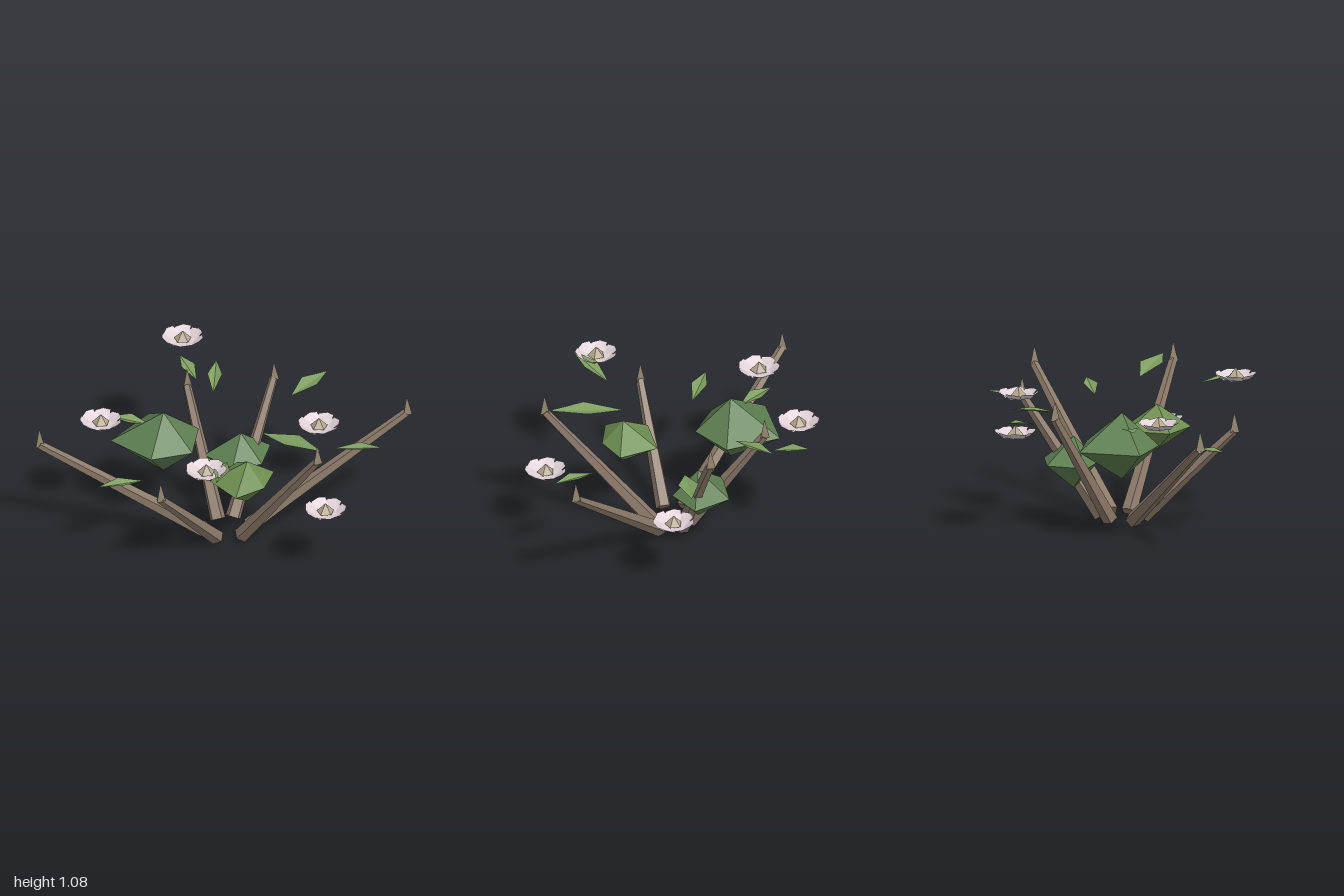
import * as THREE from 'three';

const mat = (color, side = THREE.FrontSide) =>
  new THREE.MeshStandardMaterial({ color, side, flatShading: true });
const bark = mat(0x8c7a6a);
const thornBark = mat(0x8f826c);
const foliage = mat(0x5f8052);
const foliageLight = mat(0x6f8f52);
const leafGreen = mat(0x7fa062, THREE.DoubleSide);
const petalPink = mat(0xe2d3d8, THREE.DoubleSide);
const pistilTan = mat(0xb8aa92);

function mesh(name, geometry, material) {
  const m = new THREE.Mesh(geometry, material);
  m.name = name;
  return m;
}

// Flat-faced surface from a few corner points and triangles
function facets(points, triangles) {
  const g = new THREE.BufferGeometry();
  g.setAttribute('position', new THREE.Float32BufferAttribute(triangles.flat().flatMap(i => points[i]), 3));
  g.computeVertexNormals();
  return g;
}

// Tapered stem from its base to a small upright thorn at the apex
function branch(base, apex) {
  const group = new THREE.Group();
  group.name = 'branch';
  const a = new THREE.Vector3(...base);
  const b = new THREE.Vector3(...apex);
  b.y -= 0.13;
  const dir = b.clone().sub(a);
  const stem = mesh('stem', new THREE.CylinderGeometry(0.03, 0.055, dir.length(), 5), bark);
  stem.position.copy(a).add(b).multiplyScalar(0.5);
  stem.quaternion.setFromUnitVectors(new THREE.Vector3(0, 1, 0), dir.normalize());
  const thorn = mesh('thorn', new THREE.ConeGeometry(0.037, 0.14, 3), thornBark);
  thorn.position.set(apex[0], apex[1] - 0.07, apex[2]);
  group.add(stem, thorn);
  return group;
}

// Five-sided double pyramid with an uneven rim
function clump([x, y, z], height, radii, material) {
  const points = [[0, height, 0], [0, -height, 0]];
  const triangles = [];
  radii.forEach((r, i) => {
    const t = (i / 5) * Math.PI * 2;
    points.push([r * Math.cos(t), 0, r * Math.sin(t)]);
    const p = 2 + i, q = 2 + ((i + 1) % 5);
    triangles.push([0, q, p], [1, p, q]);
  });
  const m = mesh('foliageClump', facets(points, triangles), material);
  m.position.set(x, y, z);
  return m;
}

// Diamond leaf folded upwards along its midrib
function leaf(from, to, width) {
  const a = new THREE.Vector3(...from), b = new THREE.Vector3(...to);
  const side = new THREE.Vector3(b.z - a.z, 0, a.x - b.x).normalize().multiplyScalar(width / 2);
  const mid = a.clone().lerp(b, 0.5);
  mid.y += 0.02;
  const l = mid.clone().add(side), r = mid.clone().sub(side);
  const points = [a, b, l, r].map(v => v.toArray());
  return mesh('leaf', facets(points, [[0, 1, 2], [0, 3, 1]]), leafGreen);
}

// Shallow bowl of overlapping petals around a small pointed centre
const petalGeometry = facets(
  [[0, -0.045, 0], [0.075, -0.028, 0.05], [0.128, 0.012, 0.052],
    [0.143, 0.012, 0], [0.122, 0.002, -0.056], [0.075, -0.034, -0.05]],
  [[0, 1, 5], [1, 2, 3], [1, 3, 5], [3, 4, 5]]);
const pistilGeometry = new THREE.ConeGeometry(0.06, 0.065, 5);

function flower([x, y, z], turn) {
  const group = new THREE.Group();
  group.name = 'flower';
  for (let i = 0; i < 7; i++) {
    const petal = mesh('petal', petalGeometry, petalPink);
    petal.rotation.y = (i / 7) * Math.PI * 2;
    group.add(petal);
  }
  const pistil = mesh('flowerCentre', pistilGeometry, pistilTan);
  pistil.position.y = 0.015;
  group.add(pistil);
  group.position.set(x, y, z);
  group.rotation.y = turn;
  return group;
}

export function createModel() {
  const model = new THREE.Group();
  model.name = 'floweringBush';

  // Branches: base, thorn apex
  [
    [[0.10, 0.05, -0.04], [0.86, 1.0, -0.80]],
    [[-0.05, 0.055, -0.06], [-0.12, 1.0, -0.60]],
    [[-0.12, 0.05, 0.02], [-0.58, 0.95, -0.235]],
    [[0.13, 0.05, 0.08], [0.85, 1.09, 0.18]],
    [[-0.12, 0.05, 0.18], [-0.965, 0.89, 0.90]],
    [[0.015, 0.055, 0.21], [0.03, 0.81, 0.85]],
  ].forEach(([base, apex]) => model.add(branch(base, apex)));

  // Foliage clumps: centre, half height, rim radii
  model.add(
    clump([-0.445, 0.635, 0.20], 0.23, [0.246, 0.25, 0.36, 0.365, 0.29], foliage),
    clump([-0.12, 0.43, -0.235], 0.18, [0.18, 0.17, 0.25, 0.23, 0.243], foliage),
    clump([0.293, 0.615, 0.23], 0.158, [0.145, 0.232, 0.257, 0.252, 0.22], foliageLight));

  // Leaves: inner tip, outer tip, width
  [
    [[0.05, 0.805, -0.57], [0.085, 0.84, -0.93], 0.14],
    [[-0.375, 0.82, -0.26], [-0.57, 0.865, -0.55], 0.1],
    [[0.615, 0.735, -0.30], [0.93, 0.785, -0.455], 0.1],
    [[0.315, 0.945, 0.10], [0.84, 1.005, 0.115], 0.16],
    [[-0.52, 0.765, 0.25], [-0.77, 0.80, 0.375], 0.12],
    [[-0.28, 0.60, 0.63], [-0.445, 0.63, 0.925], 0.11],
    [[0.33, 0.92, 0.50], [0.50, 0.985, 0.84], 0.11],
    [[-0.60, 0.78, -0.37], [-0.84, 0.83, -0.49], 0.1],
  ].forEach(([from, to, width]) => model.add(leaf(from, to, width)));

  // Flowers
  [
    [0.165, 0.545, -0.73],
    [-0.77, 1.03, -0.435],
    [0.86, 0.545, 0.10],
    [-0.72, 0.865, 0.535],
    [0.355, 0.995, 0.765],
  ].forEach((p, i) => model.add(flower(p, i * 1.3)));

  return model;
}
